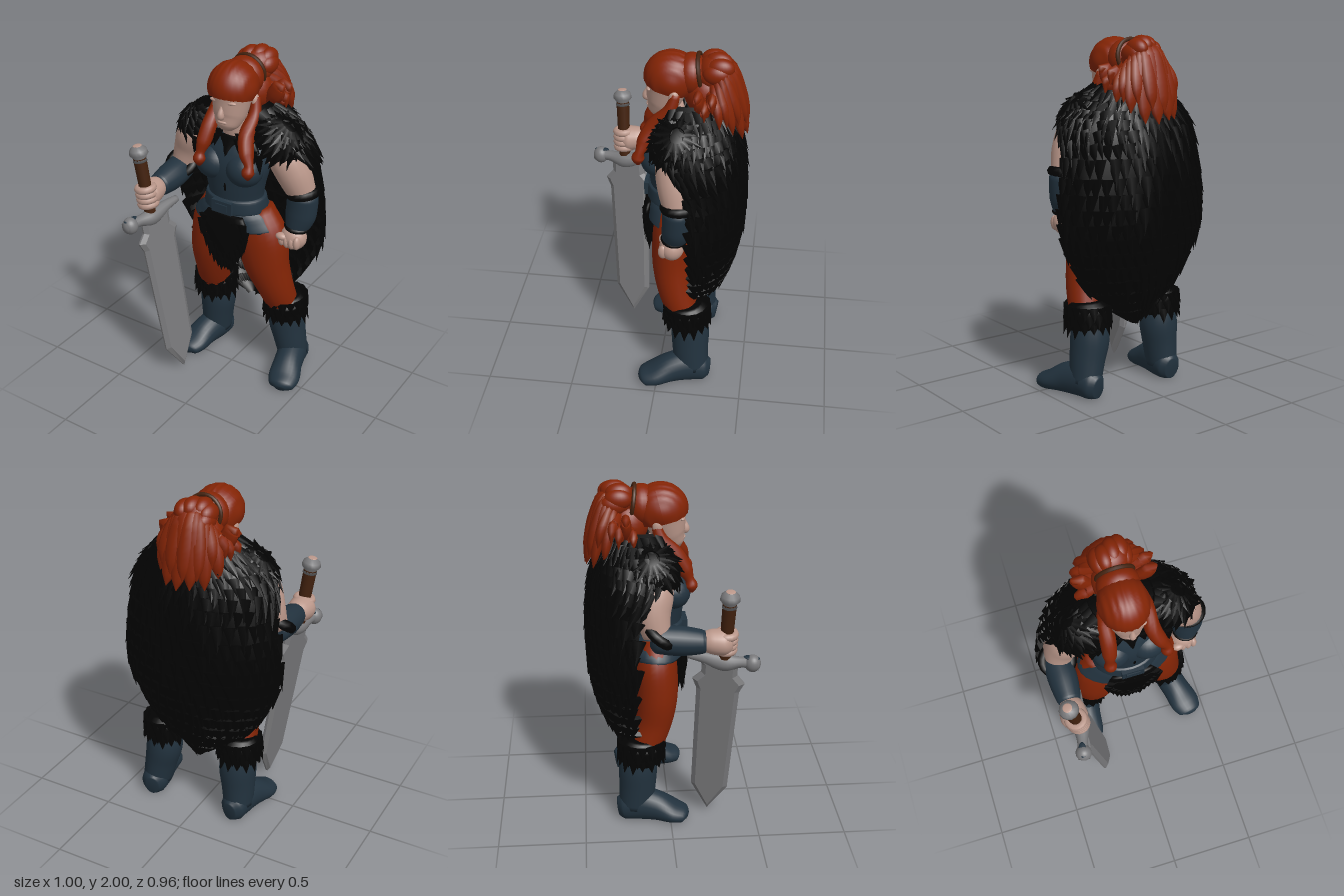
import * as THREE from 'three';
import { mergeGeometries } from 'three/addons/utils/BufferGeometryUtils.js';

const V = (x, y, z) => new THREE.Vector3(x, y, z);
const paint = (name, color, side = THREE.FrontSide) => {
  const m = new THREE.MeshStandardMaterial({ color, side });
  m.name = name;
  return m;
};
const UP = V(0, 1, 0), FRONT = V(0, 0, 1);

// Smooth closed body through [x, y, z, radiusU, radiusV] sections
function sweep(pts, ref = FRONT, sides = 20, steps = (pts.length - 1) * 5) {
  const spine = new THREE.CatmullRomCurve3(pts.map(p => V(p[0], p[1], p[2])));
  const radii = new THREE.CatmullRomCurve3(pts.map(p => V(p[3], p[4] ?? p[3], 0)));
  const pos = [], idx = [];
  for (let i = 0; i <= steps; i++) {
    const c = spine.getPoint(i / steps), r = radii.getPoint(i / steps), t = spine.getTangent(i / steps);
    const u = ref.clone().cross(t).normalize(), v = t.clone().cross(u);
    for (let j = 0; j < sides; j++) {
      const a = j / sides * Math.PI * 2;
      pos.push(...c.clone().addScaledVector(u, Math.cos(a) * r.x).addScaledVector(v, Math.sin(a) * r.y).toArray());
      if (i === steps) continue;
      const k = (j + 1) % sides, A = i * sides + j, B = i * sides + k;
      idx.push(A, B, B + sides, A, B + sides, A + sides);
    }
  }
  const n = pos.length / 3, last = steps * sides;
  pos.push(...spine.getPoint(0).toArray(), ...spine.getPoint(1).toArray());
  for (let j = 0; j < sides; j++) {
    const k = (j + 1) % sides;
    idx.push(n, k, j, n + 1, last + j, last + k);
  }
  const g = new THREE.BufferGeometry();
  g.setAttribute('position', new THREE.Float32BufferAttribute(pos, 3));
  g.setIndex(idx);
  g.computeVertexNormals();
  return g;
}

const ball = (x, y, z, rx, ry = rx, rz = rx) => new THREE.SphereGeometry(1, 24, 16).scale(rx, ry, rz).translate(x, y, z).deleteAttribute('uv');

export function createModel() {
  const root = new THREE.Group();
  const skin = paint('skin', 0xba978a), hair = paint('rust', 0x832405, THREE.DoubleSide), blue = paint('blueLeather', 0x22323e);
  const fur = paint('blackFur', 0x030303, THREE.DoubleSide), steel = paint('steel', 0x79797b), wood = paint('gripBrown', 0x43220f);
  const add = (name, g, mat, parent = root) => {
    const m = new THREE.Mesh(Array.isArray(g) ? mergeGeometries(g) : g, mat);
    m.name = name;
    parent.add(m);
    return m;
  };
  let seed = 7;
  const rnd = () => (seed = (seed * 16807) % 2147483647) / 2147483647;

  // One pointed tuft lying along dir on a surface with the given normal
  const tuft = (p, dir, normal, h, r) => {
    const d = dir.clone().normalize(), x = d.clone().cross(normal).normalize(), z = x.clone().cross(d);
    const m = new THREE.Matrix4().makeBasis(x.multiplyScalar(r), d.multiplyScalar(h * (0.7 + rnd() * 0.6)), z.multiplyScalar(r * 0.4)).setPosition(p);
    return new THREE.ConeGeometry(1, 1, 5).translate(0, 0.4, 0).applyMatrix4(m).deleteAttribute('uv');
  };
  // Downward tufts over an ellipsoid
  const furBall = (c, r, rows, cols, h, w, rot) => {
    const out = [], q = new THREE.Quaternion().setFromAxisAngle(FRONT, rot);
    for (let i = 0; i < rows; i++) for (let j = 0; j < cols; j++) {
      const th = 0.35 + i / (rows - 1) * 1.4, ph = (j + (i % 2) / 2) / cols * Math.PI * 2;
      const n = V(Math.sin(th) * Math.cos(ph), Math.cos(th), Math.sin(th) * Math.sin(ph));
      const d = V(Math.cos(th) * Math.cos(ph), -Math.sin(th), Math.cos(th) * Math.sin(ph)).addScaledVector(n, 0.2);
      out.push(tuft(n.clone().multiply(r).applyQuaternion(q).add(c), d.applyQuaternion(q), n.applyQuaternion(q), h, w));
    }
    return out;
  };

  // Head, face and neck
  add('head', sweep([[-.005, 1.61, .05, .03, .03], [-.005, 1.635, .04, .062, .062], [-.005, 1.69, .014, .09, .092], [-.005, 1.75, -.003, .104, .108],
    [-.005, 1.82, -.015, .115, .12], [-.005, 1.92, -.02, .09, .09]], FRONT, 24), skin);
  add('nose', sweep([[-.005, 1.695, .092, .014, .014], [-.005, 1.713, .103, .02, .022], [-.005, 1.755, .092, .012, .015], [-.005, 1.79, .085, .01, .01]]), skin);
  add('lips', ball(-.005, 1.672, .086, .032, .01, .017), skin);
  add('neck', sweep([[0, 1.5, -.06, .1, .085], [0, 1.57, -.05, .085, .075], [0, 1.67, -.03, .072, .07]]), skin);

  // Hair: ridged cap, tie, bun and hanging locks
  const cap = new THREE.SphereGeometry(1, 48, 20, 0, Math.PI * 2, 0, 1.98);
  const cp = cap.attributes.position;
  for (let i = 0; i < cp.count; i++) {
    const x = cp.getX(i), k = 1 + 0.018 * Math.cos(x * 24) * Math.max(0, 1 - Math.abs(cp.getY(i)) * 0.4);
    cp.setXYZ(i, x * k, cp.getY(i) * k, cp.getZ(i) * k);
  }
  cap.rotateX(-0.25).scale(.138, .143, .15).translate(-.012, 1.838, -.035);
  cap.computeVertexNormals();
  add('hairCap', cap, hair);
  add('backHair', [ball(-.01, 1.86, -.14, .115, .115, .09), ball(-.01, 1.76, -.22, .125, .13, .12)], hair);
  add('hairTie', new THREE.TorusGeometry(.098, .012, 8, 28).rotateX(.15).translate(-.01, 1.875, -.19), wood);
  const bun = [ball(-.01, 1.89, -.27, .105, .095, .095)];
  for (let i = 0; i < 9; i++) {
    const a = i / 9 * Math.PI * 2;
    bun.push(ball(-.01 + Math.cos(a) * .07, 1.895 + Math.sin(a) * .045, -.28 - Math.sin(a * 2) * .02, .05, .058, .075));
  }
  add('bun', bun, hair);
  const locks = [];
  for (let layer = 0; layer < 2; layer++) for (let i = 0; i < 10; i++) {
    const a = (i + layer * .5 - 4.75) / 4.75 * 1.75, sx = Math.sin(a), cz = Math.cos(a), f = Math.max(0, cz);
    const end = 1.66 - .16 * f + .07 * layer + rnd() * .05, top = 1.77 + .17 * f, w = (x) => .195 * x;
    const at = (r, y, t) => [sx * r - .005, y, -.23 - cz * r * 1.07, t, t * .6];
    locks.push(sweep([at(w(.3), top, .03), at(w(.6), top - .03, .045), at(w(.85), (top + end) / 2 + .01, .052), at(w(1), end + .07, .04),
      at(.212, end, .002)], FRONT, 8, 14));
  }
  add('ponytail', locks, hair);

  for (const s of [1, -1]) {
    const L = s > 0, side = L ? 'left' : 'right', bx = L ? .185 : -.135;
    add(side + 'Ear', ball(s * .118 - .005, 1.77, -.06, .02, .042, .028), skin);
    add(side + 'Brow', ball(s * .045 - .005, 1.79, .079, .038, .012, .016), skin);
    // Braid with a tied, rounded end
    add(side + 'Braid', sweep([[s * .11, 1.79, -.07, .025], [s * .122, 1.7, -.04, .036], [s * .122, 1.6, .04, .045, .05], [(bx + s * .122) / 2, 1.52, .09, .04, .045],
      [bx, 1.465, .115, .026], [bx, 1.43, .125, .036], [bx, 1.39, .125, .012]], FRONT, 14), hair);
    add(side + 'Bust', ball(s * .1, 1.385, .025, .11, .1, .1), blue);

    // Shoulder mantle
    const c = V(s * .245, 1.57, -.1), r = V(.165, .1, .135);
    add(side + 'Mantle', [ball(0, 0, 0, r.x, r.y, r.z).rotateZ(-s * .6).translate(c.x, c.y, c.z), ...furBall(c, r, 6, 15, .09, .038, -s * .6)], fur);
    // Fur collar running from the neck across the chest
    const collar = [sweep([[s * .06, 1.63, -.1, .03], [s * .095, 1.59, -.01, .045], [s * .13, 1.54, .035, .055, .03], [s * .175, 1.49, .04, .04, .02]])];
    for (let i = 0; i < 10; i++) collar.push(tuft(V(s * (.07 + (i % 5) * .035), 1.59 - (i % 5) * .022 - (i > 4) * .03, .035 + (i > 1) * .015), V(s * .15, -1, .1), FRONT, .07, .028));
    add(side + 'Collar', collar, fur);

    // Leg, fur cuff and boot
    const k = L ? 1 : .89, kx = L ? .28 : -.22, ax = L ? .325 : -.235, tx = L ? .405 : -.285;
    add(side + 'Trouser', sweep([[s * .1, 1.1, -.08, .12, .1], [s * .155 * k, .93, -.075, .165, .125], [s * .195 * k, .76, -.072, .143, .12],
      [kx * .88, .6, -.095, .11, .105], [kx, .44, -.15, .09, .09]]), hair);
    const cuff = [sweep([[kx, .37, -.17, .1, .1], [kx, .41, -.168, .125, .13], [kx, .48, -.165, .128, .133], [kx, .53, -.16, .09, .09]])];
    for (let i = 0; i < 3; i++) for (let j = 0; j < 16; j++) {
      const a = (j + i / 2) / 16 * Math.PI * 2, n = V(Math.cos(a), 0, Math.sin(a));
      cuff.push(tuft(V(kx + n.x * .122, .51 - i * .045, -.165 + n.z * .128), V(n.x * .25, -1, n.z * .25), n, .07, .035));
    }
    add(side + 'BootCuff', cuff, fur);
    add(side + 'BootShaft', sweep([[kx, .43, -.175, .1, .105], [kx, .32, -.185, .11, .112], [(kx + ax) / 2, .2, -.19, .098, .106], [ax, .07, -.2, .085, .1]]), blue);
    const at = f => ax + (tx - ax) * f;
    const foot = sweep([[at(-.2), .06, -.305, .04, .06], [at(-.12), .065, -.27, .075, .085], [at(.05), .085, -.18, .085, .105], [at(.4), .075, -.08, .087, .09],
      [at(.8), .045, .02, .095, .06], [at(1), .03, .08, .075, .045], [at(1.05), .02, .1, .03, .022]], UP, 24);
    const fp = foot.attributes.position;
    for (let i = 0; i < fp.count; i++) fp.setY(i, Math.max(0, fp.getY(i)));
    foot.computeVertexNormals();
    add(side + 'BootFoot', foot, blue);
  }

  // Bodice, belt, peplum and fur loincloth
  add('bodice', sweep([[0, 1.06, -.06, .2, .14], [0, 1.18, -.05, .168, .13], [0, 1.28, -.045, .185, .135], [0, 1.39, -.045, .21, .14],
    [0, 1.48, -.055, .2, .125], [0, 1.55, -.06, .15, .1], [0, 1.57, -.06, .1, .08]], FRONT, 28), blue);
  add('laceGap', sweep([[.005, 1.41, .06, .006, .02], [.005, 1.46, .055, .016, .025], [.005, 1.52, .04, .045, .02], [.005, 1.57, .025, .075, .012]], FRONT, 12), fur);
  add('lace', ball(.012, 1.28, .088, .008, .03, .006), fur);
  add('belt', sweep([[0, 1.105, -.05, .185, .14], [0, 1.115, -.05, .196, .15], [0, 1.185, -.05, .184, .145], [0, 1.195, -.05, .17, .13]], FRONT, 28), blue);
  add('buckle', new THREE.BoxGeometry(.13, .075, .03).translate(0, 1.15, .095), blue);
  add('buckleInset', new THREE.BoxGeometry(.08, .04, .012).translate(0, 1.15, .11), blue);
  add('peplum', sweep([[0, 1.14, -.055, .17, .135], [0, 1.09, -.06, .225, .158], [0, 1.02, -.07, .28, .17], [0, 1, -.07, .27, .16]], FRONT, 28), blue);
  const cloth = [sweep([[.005, 1.1, .075, .12, .025], [.005, 1.04, .085, .15, .03], [.005, .94, .08, .125, .03], [.01, .84, .07, .08, .025], [.02, .72, .06, .012, .01]])];
  for (let i = 0; i < 7; i++) for (let j = -2; j <= 2; j++) {
    const w = [.13, .145, .135, .115, .09, .065, .04][i];
    cloth.push(tuft(V(.005 + j / 2 * w, 1.06 - i * .045, .1 - i * .003), V(j * .04, -1, .06), FRONT, .085, .035));
  }
  add('loincloth', cloth, fur);

  // Fur cloak: y, half width, centre z, depth, half angle
  const rows = [[1.73, .13, -.14, .17, 2.1], [1.67, .25, -.13, .22, 2], [1.59, .35, -.13, .25, 1.95], [1.5, .405, -.14, .275, 1.8], [1.38, .43, -.16, .28, 1.6],
    [1.2, .465, -.17, .285, 1.5], [1.05, .48, -.17, .285, 1.48], [.9, .465, -.18, .265, 1.46], [.75, .4, -.18, .235, 1.45], [.6, .3, -.19, .175, 1.5],
    [.48, .15, -.2, .11, 1.5], [.37, .02, -.22, .04, 1.5]];
  const cA = new THREE.CatmullRomCurve3(rows.map(r => V(r[0], r[1], r[2]))), cB = new THREE.CatmullRomCurve3(rows.map(r => V(r[3], r[4], 0)));
  const cloakAt = (u, v) => {
    const a = cA.getPoint(v), b = cB.getPoint(v), t = (u * 2 - 1) * b.y;
    return V(a.y * Math.sin(t), a.x, a.z - b.x * Math.cos(t));
  };
  const sheet = new THREE.PlaneGeometry(1, 1, 40, 36), sp = sheet.attributes.position, suv = sheet.attributes.uv;
  for (let i = 0; i < sp.count; i++) sp.setXYZ(i, ...cloakAt(suv.getX(i), 1 - suv.getY(i)).toArray());
  sheet.computeVertexNormals();
  add('cloak', sheet, fur);
  const tufts = [];
  for (let i = 0; i < 19; i++) for (let j = 0; j <= 19; j++) {
    const v = .04 + i / 19 * .94, u = Math.min(1, (j + (i % 2) / 2 + (j > 0) * (rnd() - .5) * .4) / 19), p = cloakAt(u, v);
    const down = cloakAt(u, Math.min(1, v + .01)).sub(cloakAt(u, v - .01)).normalize();
    const n = V(p.x, 0, p.z + .14).normalize();
    tufts.push(tuft(p, down.addScaledVector(n, .12), n, i > 16 ? .09 : .13, i > 16 ? .025 : .045));
  }
  add('cloakFur', tufts, fur);

  // Left arm, hanging with a closed fist
  add('leftUpperArm', sweep([[.25, 1.55, -.1, .08], [.305, 1.46, -.09, .105], [.35, 1.37, -.1, .1], [.395, 1.25, -.12, .08]]), skin);
  add('leftBracer', sweep([[.395, 1.26, -.12, .078], [.395, 1.23, -.12, .091, .085], [.39, 1.13, -.115, .09, .084], [.378, 1.05, -.1, .07], [.376, 1.035, -.1, .06]]), blue);
  const cuffRing = (c, dir, r, tube) => new THREE.TorusGeometry(r, tube, 8, 18).applyQuaternion(new THREE.Quaternion().setFromUnitVectors(FRONT, dir.normalize())).translate(...c);
  add('leftElbowFur', cuffRing([.393, 1.265, -.12], V(-.15, 1, 0), .073, .028), fur);
  add('leftWristFur', cuffRing([.378, 1.05, -.1], V(.1, 1, 0), .06, .017), fur);
  const fist = [ball(.365, .98, -.085, .078, .075, .068)];
  for (let i = 0; i < 4; i++) fist.push(ball(.315 + i * .032, .965 + Math.abs(i - 1.5) * .006, -.04, .021, .042, .028));
  fist.push(ball(.315, .995, -.03, .035, .022, .025));
  add('leftFist', fist, skin);

  // Right arm, bent forward
  add('rightUpperArm', sweep([[-.25, 1.55, -.1, .08], [-.31, 1.46, -.09, .105], [-.35, 1.36, -.1, .098], [-.385, 1.24, -.08, .075]]), skin);
  add('rightBracer', sweep([[-.395, 1.235, -.11, .05], [-.395, 1.23, -.08, .078], [-.39, 1.215, .03, .083], [-.39, 1.205, .16, .068], [-.39, 1.205, .18, .06]], UP), blue);
  add('rightElbowFur', cuffRing([-.39, 1.255, -.06], V(-.1, .8, .6), .08, .03), fur);
  add('rightPalm', sweep([[-.39, 1.205, .16, .05, .05], [-.39, 1.205, .21, .07, .068], [-.39, 1.2, .27, .078, .075], [-.385, 1.2, .32, .055, .06]], UP), skin);

  // Sword, built upright from its tip and then leaned
  const sword = new THREE.Group(), hilt = new THREE.Group();
  sword.name = 'sword';
  hilt.name = 'hilt';
  hilt.position.x = .022;
  sword.add(hilt);
  const half = [[.12, 1.07], [.1, 1.03], [.1, .98], [.145, .93], [.12, .87], [.115, .6], [.107, .18]];
  const outline = new THREE.Shape([[0, 0], ...half.slice().reverse(), ...half.map(([x, y]) => [-x, y])].map(p => new THREE.Vector2(...p)));
  add('blade', new THREE.ExtrudeGeometry(outline, { depth: .012, bevelEnabled: true, bevelThickness: .018, bevelSize: .025, bevelOffset: -.025, bevelSegments: 1 }).translate(0, 0, -.006), steel, sword);
  add('guard', sweep([[-.205, 1.08, 0, .02], [-.12, 1.075, 0, .03, .032], [0, 1.055, 0, .045, .05], [.1, 1.07, 0, .03], [.19, 1.07, 0, .035]], UP, 12), steel, hilt);
  add('guardEnd', ball(.155, 1.07, 0, .045, .05, .045), steel, hilt);
  add('guardInlay', ball(.125, 1.108, 0, .045, .008, .022).rotateZ(-.02), blue, hilt);
  add('grip', new THREE.CylinderGeometry(.038, .034, .34, 12).translate(0, 1.26, 0), wood, hilt);
  add('pommel', new THREE.LatheGeometry([[0, 1.4], [.042, 1.41], [.036, 1.43], [.055, 1.455], [.05, 1.48], [.028, 1.5], [0, 1.505]].map(p => new THREE.Vector2(...p)), 14), steel, hilt);
  add('pommelCap', ball(0, 1.503, 0, .026, .004, .026), skin, hilt);
  for (let i = 0; i < 4; i++) add('gripFinger', new THREE.TorusGeometry(.044, .022, 8, 18).rotateX(Math.PI / 2).translate(0, 1.145 + i * .032, 0), skin, hilt);
  const axis = V(-.21, 1.48, .06).normalize(), wide = V(-.2, 0, .98);
  wide.addScaledVector(axis, -wide.dot(axis)).normalize();
  new THREE.Matrix4().makeBasis(wide, axis, wide.clone().cross(axis)).setPosition(-.21, .02, .225).decompose(sword.position, sword.quaternion, sword.scale);
  root.add(sword);
  return root;
}
